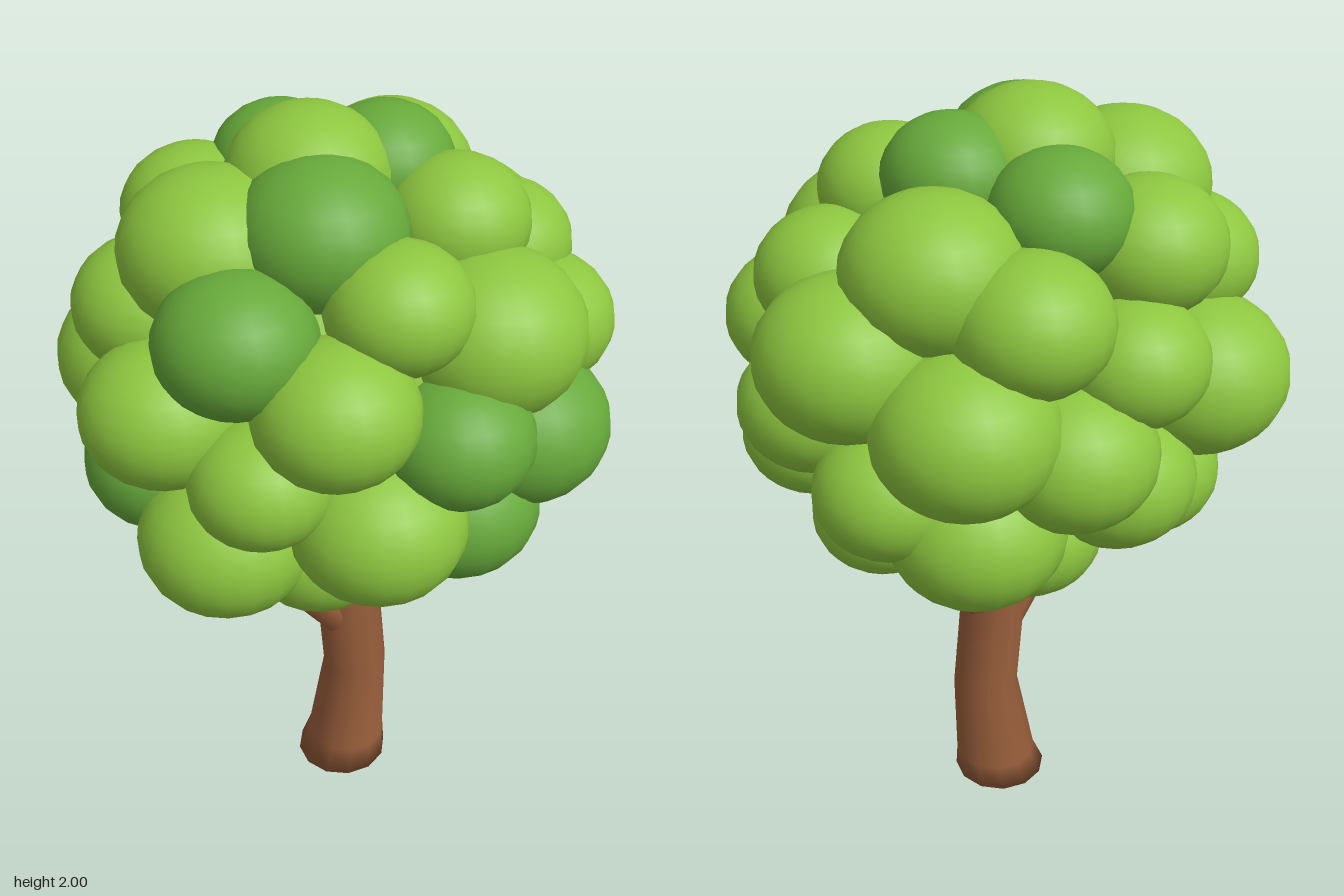
import * as THREE from 'three';

const lightLeaf = new THREE.MeshStandardMaterial({ color: 0x8dc63f });
lightLeaf.name = 'lightLeaf';
const darkLeaf = new THREE.MeshStandardMaterial({ color: 0x67a93a });
darkLeaf.name = 'darkLeaf';
const bark = new THREE.MeshStandardMaterial({ color: 0x985e3b });
bark.name = 'bark';

// Leaf clumps: x, y, z, radius
const lightClumps = [
  // crown
  [-0.06, 1.83, -0.04, 0.19], [-0.31, 1.72, -0.07, 0.21], [0.18, 1.74, 0.19, 0.17], [0.305, 1.685, -0.18, 0.205],
  [-0.18, 1.68, -0.32, 0.18], [-0.1, 1.67, 0.32, 0.165], [0.19, 1.61, -0.38, 0.18], [-0.4, 1.56, -0.2, 0.18],
  // middle, front and sides
  [0.385, 1.595, 0.13, 0.175], [0.135, 1.545, 0.365, 0.22], [-0.29, 1.49, 0.34, 0.185], [0.39, 1.445, 0.27, 0.185],
  [-0.51, 1.41, 0, 0.19], [0.48, 1.505, -0.1, 0.21], [0.49, 1.33, 0.05, 0.18], [-0.42, 1.31, 0.24, 0.165],
  // middle, back
  [-0.06, 1.47, -0.43, 0.17], [0.11, 1.29, -0.43, 0.195], [0.35, 1.39, -0.36, 0.21], [-0.33, 1.33, -0.35, 0.22],
  // lower
  [-0.2, 1.175, 0.38, 0.205], [-0.44, 1.095, 0.12, 0.205], [0.42, 1.165, 0.2, 0.175], [0.45, 1.2, -0.2, 0.175],
  [-0.07, 1.14, -0.37, 0.19], [0.29, 1.1, -0.31, 0.21], [0.37, 1.03, -0.03, 0.17], [-0.27, 1.03, -0.24, 0.19],
];
const underClumps = [
  [-0.23, 1.02, 0.2, 0.18], [0.18, 0.94, 0.19, 0.18], [0.16, 0.89, -0.08, 0.185],
  [0.1, 0.99, -0.25, 0.18], [-0.03, 0.92, 0.06, 0.17],
];
const darkClumps = [
  [-0.145, 1.775, 0.11, 0.195], [0.14, 1.82, -0.01, 0.16], [0.015, 1.775, -0.245, 0.165], [-0.41, 1.62, 0.15, 0.18],
  [-0.03, 1.37, 0.45, 0.175], [0.26, 1.245, 0.365, 0.215], [0.085, 1.075, 0.335, 0.205],
  [-0.45, 1.19, -0.12, 0.185], [-0.2, 0.915, -0.06, 0.175],
];

// Tapered limb between two points
function limb(name, from, to, r0, r1) {
  const a = new THREE.Vector3(...from), b = new THREE.Vector3(...to);
  const dir = b.clone().sub(a);
  const mesh = new THREE.Mesh(new THREE.CylinderGeometry(r1, r0, dir.length(), 10), bark);
  mesh.position.copy(a).add(b).multiplyScalar(0.5);
  mesh.quaternion.setFromUnitVectors(new THREE.Vector3(0, 1, 0), dir.normalize());
  mesh.name = name;
  return mesh;
}

// Bent trunk: a turned profile whose rings slide sideways
function trunk() {
  const rings = [[0, 0, 0.005], [0.126, 0, 0.005], [0.11, 0.07, 0.02], [0.088, 0.33, 0.052],
    [0.087, 0.58, 0.028], [0.076, 0.78, 0.003], [0.06, 1, -0.01]];
  const geo = new THREE.LatheGeometry(rings.map(([r, y]) => new THREE.Vector2(r, y)), 12);
  const p = geo.attributes.position;
  for (let i = 0; i < p.count; i++) p.setX(i, p.getX(i) + rings[i % rings.length][2]);
  const mesh = new THREE.Mesh(geo, bark);
  mesh.name = 'trunk';
  return mesh;
}

export function createModel() {
  const tree = new THREE.Group();
  tree.name = 'tree';
  tree.add(
    trunk(),
    limb('rightBranch', [0.01, 0.5, 0], [-0.28, 0.88, 0], 0.055, 0.045),
    limb('leftBranch', [0.06, 0.62, 0], [0.26, 0.85, 0], 0.062, 0.05),
  );

  // Leafy canopy of slightly flattened clumps
  const canopy = new THREE.Group();
  canopy.name = 'canopy';
  const ball = new THREE.SphereGeometry(1, 20, 14);
  const addClumps = (list, material, name) => list.forEach(([x, y, z, r]) => {
    const clump = new THREE.Mesh(ball, material);
    clump.position.set(x, y, z);
    clump.scale.set(r * 1.02, r * 0.89, r * 1.02);
    clump.name = name;
    canopy.add(clump);
  });
  addClumps(lightClumps, lightLeaf, 'lightClump');
  addClumps(underClumps, lightLeaf, 'underClump');
  addClumps(darkClumps, darkLeaf, 'darkClump');

  // Inner mass closing gaps between clumps
  const core = new THREE.Mesh(ball, lightLeaf);
  core.position.set(0, 1.37, 0);
  core.scale.set(0.49, 0.44, 0.42);
  core.name = 'canopyCore';
  canopy.add(core);

  tree.add(canopy);
  return tree;
}
